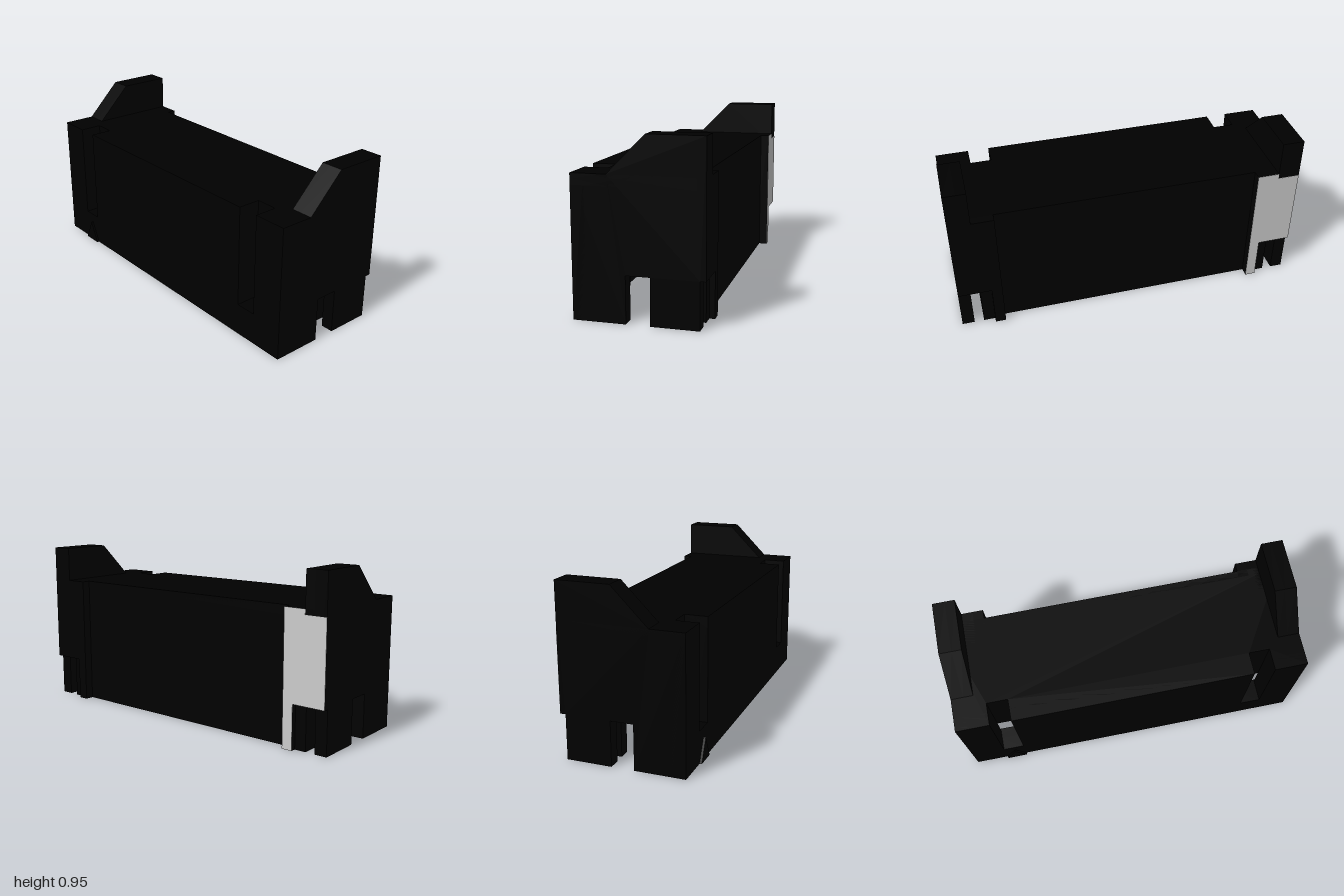
import * as THREE from 'three';

const black = new THREE.MeshStandardMaterial({ color: 0x000000 });
const grey = new THREE.MeshStandardMaterial({ color: 0xcccccc });

const toShape = pts => new THREE.Shape(pts.map(p => new THREE.Vector2(p[0], p[1])));
const extrude = (shape, depth) => new THREE.ExtrudeGeometry(shape, { depth, bevelEnabled: false });

export function createModel() {
  const model = new THREE.Group();

  function add(name, geometry, parent = model, material = black) {
    const mesh = new THREE.Mesh(geometry, material);
    mesh.name = name;
    parent.add(mesh);
    return mesh;
  }
  // box given by its lower and upper bounds
  function box(name, x0, x1, y0, y1, z0, z1, parent) {
    const mesh = add(name, new THREE.BoxGeometry(x1 - x0, y1 - y0, z1 - z0), parent);
    mesh.position.set((x0 + x1) / 2, (y0 + y1) / 2, (z0 + z1) / 2);
  }
  // plate from a [z, y] outline, extruded from x0 to x1
  function sidePlate(name, x0, x1, pts, parent) {
    const g = extrude(toShape(pts.map(([z, y]) => [-z, y])), x1 - x0);
    g.rotateY(Math.PI / 2).translate(x0, 0, 0);
    add(name, g, parent);
  }

  // roof with two slots open to the front
  const roof = toShape([
    [-1, -0.3375], [-0.81, -0.3375], [-0.81, -0.21], [-0.69, -0.21], [-0.69, -0.3375],
    [0.69, -0.3375], [0.69, -0.21], [0.81, -0.21], [0.81, -0.3375], [1, -0.3375],
    [1, 0.3], [-1, 0.3],
  ]);
  add('roof', extrude(roof, 0.06).rotateX(-Math.PI / 2).translate(0, 0.69, 0));

  // front wall with two slots open to the top
  const front = toShape([
    [-1, 0], [1, 0], [1, 0.75], [0.81, 0.75], [0.81, 0.18], [0.69, 0.18], [0.69, 0.75],
    [-0.69, 0.75], [-0.69, 0.18], [-0.81, 0.18], [-0.81, 0.75], [-1, 0.75],
  ]);
  add('frontWall', extrude(front, 0.0725).translate(0, 0, 0.265));
  box('backWall', -0.81, 0.81, 0, 0.75, -0.3, -0.26);

  // both ends share the same bounds, mirrored in x
  for (const side of [1, -1]) {
    const end = new THREE.Group();
    end.name = side > 0 ? 'leftEnd' : 'rightEnd';
    model.add(end);
    const span = (a, b) => side > 0 ? [a, b] : [-b, -a];
    const sBox = (name, a, b, ...rest) => box(name, ...span(a, b), ...rest, end);
    const sPlate = (name, a, b, pts) => sidePlate(name, ...span(a, b), pts, end);

    // end wall with the square channel, stepped rear foot and sloped top
    sPlate('endWall', 0.93, 1, [
      [0.3375, 0], [0.3375, 0.75], [0.15, 0.75], [-0.05, 0.95], [-0.35, 0.95], [-0.35, 0.25],
      [-0.32, 0.25], [-0.32, 0], [-0.068, 0], [-0.068, 0.25], [0.058, 0.25], [0.058, 0],
    ]);
    sPlate('slopedTower', 0.875, 0.93, [[0.21, 0.69], [0.15, 0.75], [-0.05, 0.95], [-0.35, 0.95], [-0.35, 0.69]]);

    // rear post: narrow edge, upper block and the inner foot
    sBox('rearPostEdge', 0.75, 0.81, 0, 0.75, -0.35, -0.26);
    sBox('rearPost', 0.81, 0.93, 0.25, 0.75, -0.35, -0.07);
    sBox('innerFoot', 0.81, 0.875, 0, 0.25, -0.32, -0.07);

    // key slot pocket, with a window low in its back
    sBox('slotBack', 0.69, 0.81, 0.33, 0.75, 0.203, 0.21);
    sBox('slotInnerSide', 0.51, 0.69, 0.04, 0.69, 0.203, 0.27);
    sBox('slotOuterSide', 0.81, 0.84, 0.18, 0.69, 0.21, 0.27);
    sBox('slotFloor', 0.69, 0.93, 0.04, 0.18, 0.203, 0.27);
  }

  // small triangular marker low on the front
  const marker = toShape([[-0.81, 0], [-0.69, 0], [-0.75, 0.125]]);
  add('triangleMarker', extrude(marker, 0.0125).translate(0, 0, 0.3375));

  // pale panel on the back of one post
  const panel = toShape([
    [-1, 0.25], [-0.81, 0.25], [-0.81, 0], [-0.75, 0], [-0.75, 0.75],
    [-0.875, 0.75], [-0.875, 0.72], [-1, 0.72],
  ]);
  add('rearPanel', extrude(panel, 0.001).translate(0, 0, -0.351), model, grey);

  return model;
}
